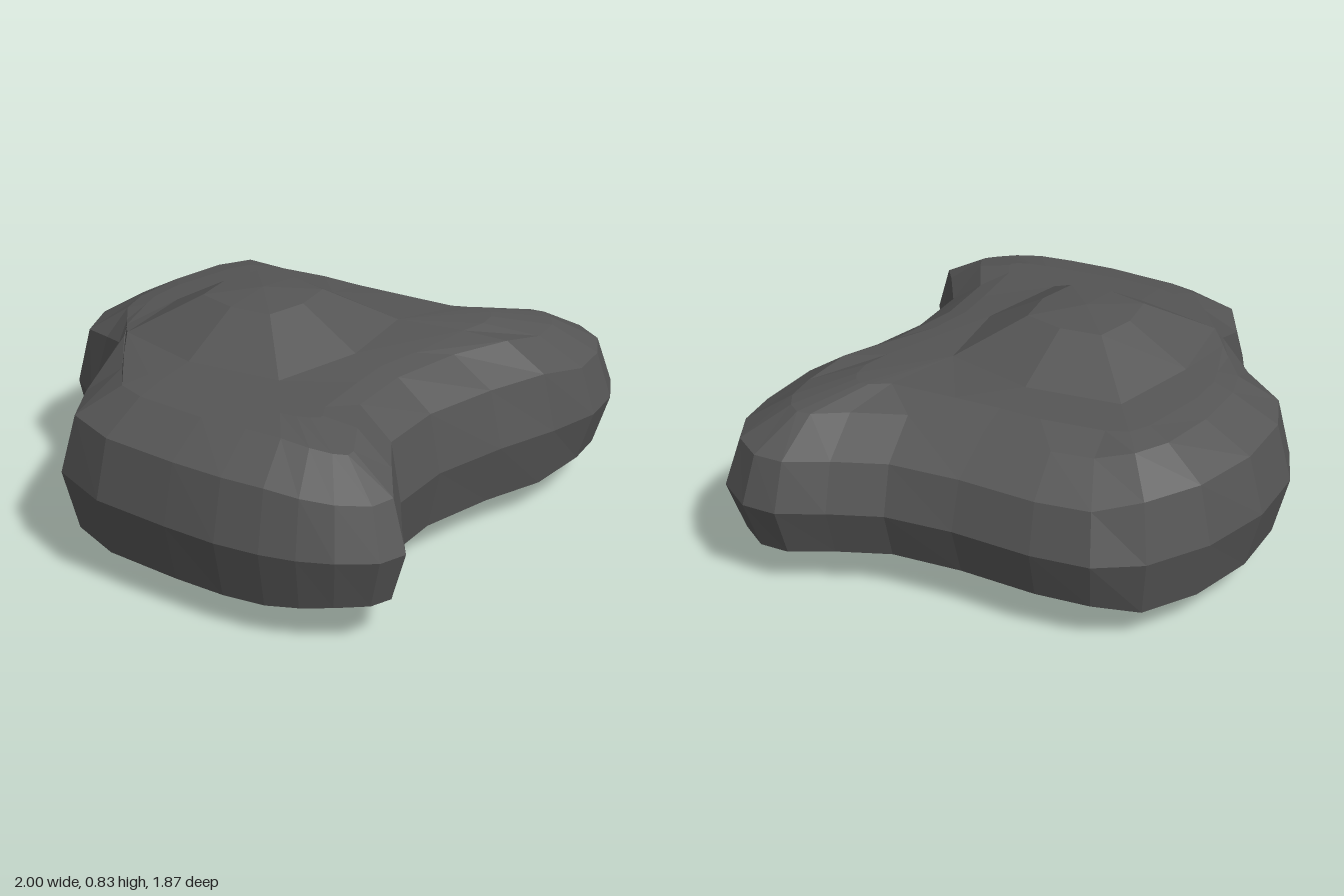
import * as THREE from 'three';

// Widest outline (x, z) and, further in, the matching shoulder point (x, z)
const COLUMNS = [
  [-0.67, 0.93, -0.63, 0.69], [-0.77, 0.9, -0.66, 0.69], [-0.86, 0.79, -0.69, 0.65], [-0.92, 0.68, -0.72, 0.58],
  [-0.96, 0.56, -0.74, 0.48], [-0.99, 0.4, -0.76, 0.35], [-1, 0.2, -0.78, 0.18], [-1, -0.1, -0.78, -0.09],
  [-0.92, -0.34, -0.75, -0.2], [-0.73, -0.45, -0.64, -0.3], [-0.52, -0.53, -0.46, -0.455], [-0.41, -0.68, -0.32, -0.57],
  [-0.32, -0.83, -0.22, -0.66], [-0.14, -0.92, -0.1, -0.7], [0.12, -0.94, 0.12, -0.71], [0.39, -0.88, 0.33, -0.68],
  [0.61, -0.76, 0.45, -0.62], [0.72, -0.61, 0.51, -0.5], [0.76, -0.4, 0.54, -0.35], [0.77, -0.1, 0.55, -0.09],
  [0.81, 0.15, 0.58, 0.2], [0.9, 0.33, 0.67, 0.38], [0.99, 0.48, 0.75, 0.49], [1, 0.61, 0.76, 0.54],
  [0.92, 0.75, 0.73, 0.59], [0.78, 0.83, 0.67, 0.63], [0.61, 0.86, 0.55, 0.65], [0.4, 0.82, 0.38, 0.62],
  [0.16, 0.75, 0.16, 0.54], [-0.13, 0.69, -0.12, 0.5], [-0.39, 0.71, -0.38, 0.53], [-0.55, 0.83, -0.53, 0.63],
].map(([x, z, sx, sz]) => {
  const rim = new THREE.Vector3(x, 0, z);
  const reach = Math.hypot(x + 0.11, z + 0.1);
  return {
    rim,
    shoulder: new THREE.Vector3(sx, 0, sz),
    // 1 in the deep notch near the hump
    notch: 1 - THREE.MathUtils.smoothstep(reach, 0.59, 0.7),
    // 1 at the far ends of the front lobes and along the left side, where the rim is lower
    drop: Math.max(THREE.MathUtils.smoothstep(reach, 1.05, 1.2), THREE.MathUtils.smoothstep(x, 0.6, 0.75)),
  };
});

// Centre of the hump
const HUB = new THREE.Vector3(-0.11, 0, -0.1);

// Rounded-square octagon around the hump, on the side of the given column
function octagon({ rim }, radius, y) {
  const step = Math.PI / 4;
  const a = Math.round(Math.atan2(rim.z - HUB.z, rim.x - HUB.x) / step) * step;
  const c = Math.cos(a), s = Math.sin(a);
  const r = radius / Math.pow(c ** 4 + s ** 4, 0.25);
  return new THREE.Vector3(HUB.x + r * c, y, HUB.z + r * s);
}

// Edge ring just inside the rim, and the ring between shoulder and hump
const edge = (col, y) => col.rim.clone().lerp(col.shoulder, 0.25 + 0.55 * col.notch).setY(y);
const between = (col, y) => col.shoulder.clone().lerp(octagon(col, 0.41, 0), 0.4).setY(y);

// Cross-sections from the underside to the top of the hump
const RINGS = [
  () => HUB.clone(),
  (col) => octagon(col, 0.41, 0.005),
  (col) => between(col, 0.02),
  (col) => col.shoulder.clone().setY(0.035 + 0.03 * col.drop),
  (col) => edge(col, 0.12 - 0.07 * col.notch + 0.035 * col.drop),
  (col) => col.rim.clone().setY(0.34),
  (col) => edge(col, 0.55 + 0.09 * col.notch - 0.035 * col.drop),
  (col) => col.shoulder.clone().setY(0.645 + 0.02 * col.notch - 0.03 * col.drop),
  (col) => between(col, 0.665),
  (col) => octagon(col, 0.41, 0.68),
  (col) => octagon(col, 0.18, 0.81),
  () => HUB.clone().setY(0.83),
];

function loft(rings) {
  const positions = [];
  const triangle = (a, b, c) => {
    if (new THREE.Triangle(a, b, c).getArea() > 1e-7) {
      for (const v of [a, b, c]) positions.push(v.x, v.y, v.z);
    }
  };
  for (let i = 0; i < rings.length - 1; i++) {
    const low = rings[i], high = rings[i + 1];
    for (let j = 0; j < low.length; j++) {
      const k = (j + 1) % low.length;
      triangle(low[j], high[j], high[k]);
      triangle(low[j], high[k], low[k]);
    }
  }
  const geometry = new THREE.BufferGeometry();
  geometry.setAttribute('position', new THREE.Float32BufferAttribute(positions, 3));
  geometry.computeVertexNormals();
  return geometry;
}

export function createModel() {
  const group = new THREE.Group();
  group.name = 'rock';
  const stone = new THREE.MeshStandardMaterial({ color: 0x555555, flatShading: true });
  stone.name = 'dark grey stone';
  const boulder = new THREE.Mesh(loft(RINGS.map((ring) => COLUMNS.map((col) => ring(col)))), stone);
  boulder.name = 'boulder';
  group.add(boulder);
  return group;
}
